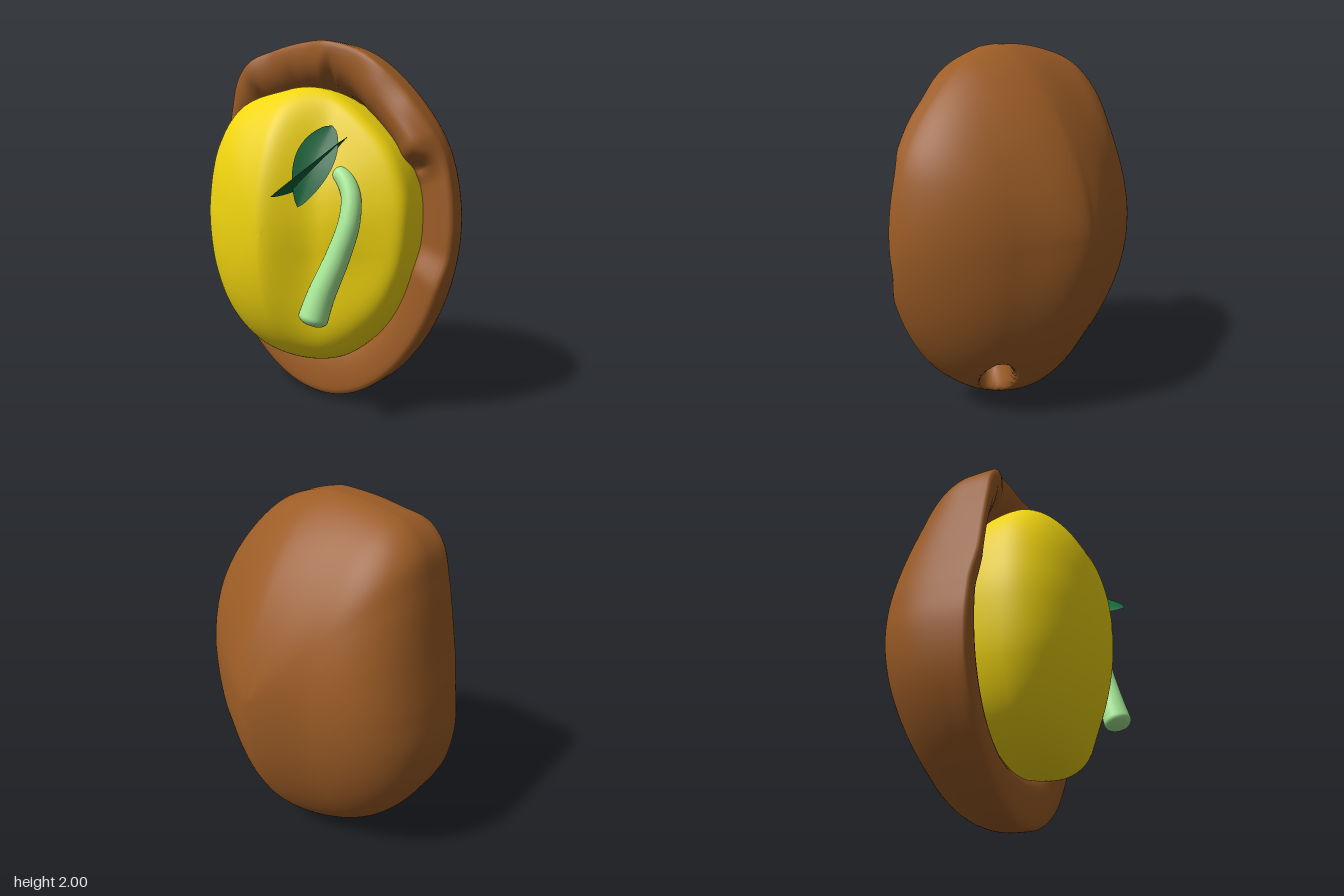
import * as THREE from 'three';

const SEG = 240;
const { smoothstep, lerp } = THREE.MathUtils;
const mat = (color, side = THREE.FrontSide) => new THREE.MeshStandardMaterial({ color, side });

// Closed smooth outline through [x, y] points, evenly resampled
function outline(points) {
  const curve = new THREE.CatmullRomCurve3(points.map(([x, y]) => new THREE.Vector3(x, y, 0)), true);
  return curve.getSpacedPoints(SEG).slice(0, SEG);
}

// Value around the rim from [degrees, value] keys
function keyed(keys, deg) {
  for (let i = 0; i < keys.length; i++) {
    const [a, va] = keys[i];
    const [b, vb] = i + 1 < keys.length ? keys[i + 1] : [keys[0][0] + 360, keys[0][1]];
    if (deg >= a && deg <= b) return lerp(va, vb, smoothstep(deg, a, b));
  }
  return keys[0][1];
}

// Skin over closed rings ordered from front to back
function loft(rings) {
  const index = [];
  for (let j = 0; j < rings.length - 1; j++) {
    for (let i = 0; i < SEG; i++) {
      const n = (i + 1) % SEG;
      const a = j * SEG + i, b = j * SEG + n, c = a + SEG, d = b + SEG;
      index.push(a, c, b, b, c, d);
    }
  }
  const geo = new THREE.BufferGeometry().setFromPoints(rings.flat());
  geo.setIndex(index);
  geo.computeVertexNormals();
  return geo;
}

const HUSK = outline([
  [0.77, 1.0], [0.74, 1.3], [0.67, 1.5], [0.5, 1.73], [0.3, 1.9], [0.1, 1.98], [-0.05, 2],
  [-0.3, 1.975], [-0.48, 1.92], [-0.58, 1.82], [-0.63, 1.65], [-0.7, 1.3], [-0.75, 1.05],
  [-0.77, 0.85], [-0.73, 0.6], [-0.6, 0.35], [-0.4, 0.14], [-0.2, 0.03], [0, 0.003],
  [0.2, 0.05], [0.4, 0.18], [0.58, 0.4], [0.71, 0.68]]);
const SEED = outline([
  [0.61, 1.02], [0.6, 1.2], [0.52, 1.4], [0.35, 1.58], [0.15, 1.71], [0, 1.745], [-0.15, 1.73],
  [-0.4, 1.66], [-0.55, 1.47], [-0.62, 1.2], [-0.63, 1.0], [-0.58, 0.7], [-0.45, 0.45],
  [-0.25, 0.3], [0, 0.26], [0.25, 0.32], [0.45, 0.52], [0.57, 0.78]]);

// By angle: front of the rim, drop of its outer edge, depth of its inner slope, roundness of the back, pleats
const LIP = [[0, 0.05], [18, 0.05], [35, 0.165], [60, 0.15], [80, 0.115], [88, 0.135], [96, 0.12], [111, 0.125],
  [122, 0.17], [160, 0.165], [180, 0.14], [270, 0.11], [333, 0.1], [349, 0.05]];
const EDGE = [[0, 0], [18, 0], [32, 0.08], [50, 0.05], [75, 0]];
const SLOPE = [[0, 0.1], [20, 0.15], [45, 0.5], [90, 1], [130, 1], [170, 0.5], [270, 0.35], [349, 0.1]];
const ROUND = [[0, 1.75], [90, 1.5], [180, 2.8], [270, 2.05]];
const PLEATS = [[26, 0.05, 3], [86, 0.05, 2], [105, 0.02, 3], [122, 0.06, 2.5]];

function huskGeometry() {
  const centre = new THREE.Vector3(0, 1.05, 0);
  const angles = HUSK.map(p => (Math.atan2(p.y - 1.05, p.x) * 180 / Math.PI + 360) % 360);
  const lips = angles.map(a => keyed(LIP, a));
  const edges = angles.map(a => keyed(EDGE, a));
  const slopes = angles.map(a => keyed(SLOPE, a));
  const rounds = angles.map(a => keyed(ROUND, a));
  const pleats = angles.map(a => PLEATS.reduce((s, [c, d, w]) => s + d * Math.exp(-(((a - c) / w) ** 2)), 0));
  const rings = [];
  // Rim rolling outwards from the seed: [share of the way out, drop, pleat strength]
  const rim = [[-0.25, 0.26, 0], [-0.08, 0.14, 0.5], [0.08, 0.08, 1], [0.22, 0.045, 0.8], [0.38, 0.02, 0.5],
    [0.55, 0.004, 0.2], [0.72, 0, 0.05], [0.86, 0.001, 0], [0.95, 0.007, 0], [0.99, 0.02, 0]];
  for (const [k, drop, strength] of rim) {
    rings.push(HUSK.map((p, i) => SEED[i].clone().lerp(p, k).setZ(lips[i] - edges[i] * smoothstep(k, 0.4, 1)
      - drop * (k < 0.6 ? slopes[i] : 1) - strength * pleats[i])));
  }
  for (const t of [0.7, 0.35]) rings.push(HUSK.map((p, i) => p.clone().setZ((lips[i] - edges[i] - 0.015) * t)));
  // Rounded back, its outline easing into an oval; both flanks are a little shallower than the spine
  const N = 84;
  for (let j = 0; j <= N; j++) {
    const r = Math.cos(j / N * Math.PI / 2);
    rings.push(HUSK.map((p, i) => {
      const a = angles[i] * Math.PI / 180, e = rounds[i];
      const radius = 1 / Math.hypot(Math.cos(a) / 0.76, Math.sin(a) / 0.98);
      const v = new THREE.Vector3(radius * Math.cos(a), 1.05 + radius * Math.sin(a), 0).lerp(p, r * r);
      v.lerp(centre, 1 - r);
      const depth = 0.648 * (1 - 0.12 * smoothstep(-v.x, -0.05, 0.35) - 0.1 * smoothstep(v.x, 0, 0.4));
      return v.setZ(-depth * Math.max(0, 1 - r ** e) ** (1 / e));
    }));
  }
  // Slanted hole low on the back, pushed in until the seed shows
  const hole = new THREE.Vector3(0.32, 0.21, -0.27);
  const along = new THREE.Vector3(0.2, 0.8, -0.52).normalize();
  const inward = new THREE.Vector3(-0.5, 0.55, 0.67).normalize();
  for (const p of rings.flat()) {
    const d = p.clone().sub(hole);
    const a = d.dot(along);
    const b2 = d.lengthSq() - a * a;
    const q = Math.sqrt((a / 0.19) ** 2 + b2 / 0.105 ** 2);
    p.addScaledVector(inward, 0.46 * (1 - smoothstep(q, 0.1, 1)));
  }
  return loft(rings);
}

function seedGeometry() {
  const centre = new THREE.Vector3(-0.01, 1, 0);
  const rings = [];
  const N = 64;
  for (let j = 0; j <= N; j++) {
    const phi = Math.PI / 2 - j / N * Math.PI;
    const s = Math.sin(phi);
    rings.push(SEED.map(p => {
      const v = centre.clone().lerp(p, Math.cos(phi));
      v.z = 0.2 + (s > 0 ? 0.41 : 0.68) * s - 0.05 * v.x;
      // The left half is fuller, with a soft crease beside it
      v.z -= 0.14 * smoothstep(v.x, -0.04, 0.22) * smoothstep(v.y, 0.2, 0.9) * smoothstep(s, 0, 0.8);
      return v;
    }));
  }
  return loft(rings);
}

// Tapered tube with rounded ends
function stemGeometry() {
  const path = new THREE.CatmullRomCurve3([[0.256, 0.56, 0.53], [0.285, 0.7, 0.49], [0.35, 0.9, 0.435],
    [0.39, 1.07, 0.395], [0.375, 1.2, 0.36], [0.315, 1.285, 0.34], [0.26, 1.31, 0.335]].map(p => new THREE.Vector3(...p)));
  const rings = 120, sides = 28;
  const geo = new THREE.TubeGeometry(path, rings, 1, sides);
  const pos = geo.attributes.position, v = new THREE.Vector3();
  for (let j = 0; j <= rings; j++) {
    const t = j / rings, c = path.getPointAt(t);
    const end = Math.min(1, t / 0.05, (1 - t) / 0.05);
    const r = lerp(0.078, 0.043, t ** 0.9) * Math.sqrt(1 - (1 - end) ** 2);
    for (let i = 0; i <= sides; i++) {
      const k = j * (sides + 1) + i;
      v.fromBufferAttribute(pos, k).sub(c).multiplyScalar(Math.max(r, 0.0005)).add(c);
      pos.setXYZ(k, v.x, v.y, v.z);
    }
  }
  geo.computeVertexNormals();
  return geo;
}

// Pointed leaf from base to tip, folded along its midrib
function leafGeometry(base, tip, across, halfWidth, fold, arch) {
  const a = new THREE.Vector3(...base), m = new THREE.Vector3(...tip).sub(a);
  const w = new THREE.Vector3(...across);
  w.addScaledVector(m, -w.dot(m) / m.lengthSq()).normalize();
  const n = w.clone().cross(m).normalize();
  const geo = new THREE.PlaneGeometry(2, 1, 12, 24);
  const pos = geo.attributes.position;
  for (let i = 0; i < pos.count; i++) {
    const s = pos.getX(i), u = pos.getY(i) + 0.5;
    const width = halfWidth * Math.sin(Math.PI * u ** 0.85) ** 0.75;
    const p = a.clone().addScaledVector(m, u).addScaledVector(w, s * width)
      .addScaledVector(n, fold * Math.abs(s) ** 1.5 * width / halfWidth + arch * Math.sin(Math.PI * u));
    pos.setXYZ(i, p.x, p.y, p.z);
  }
  geo.computeVertexNormals();
  return geo;
}

export function createModel() {
  const group = new THREE.Group();
  const add = (name, geo, material) => {
    const mesh = new THREE.Mesh(geo, material);
    mesh.name = name;
    group.add(mesh);
  };
  const green = mat(0x14653c, THREE.DoubleSide);
  add('husk', huskGeometry(), mat(0x9c5c26, THREE.DoubleSide));
  add('seed', seedGeometry(), mat(0xf2d60f));
  add('stem', stemGeometry(), mat(0xa6e896));
  add('frontLeaf', leafGeometry([0.24, 1.54, 0.33], [0.16, 1.14, 0.51], [1, 0, -0.5], 0.098, -0.02, -0.035), green);
  add('sideLeaf', leafGeometry([0.3, 1.48, 0.28], [0.105, 1.2, 0.645], [0.24, 0.22, 0.378], 0.105, 0.02, 0.015), green);
  return group;
}
